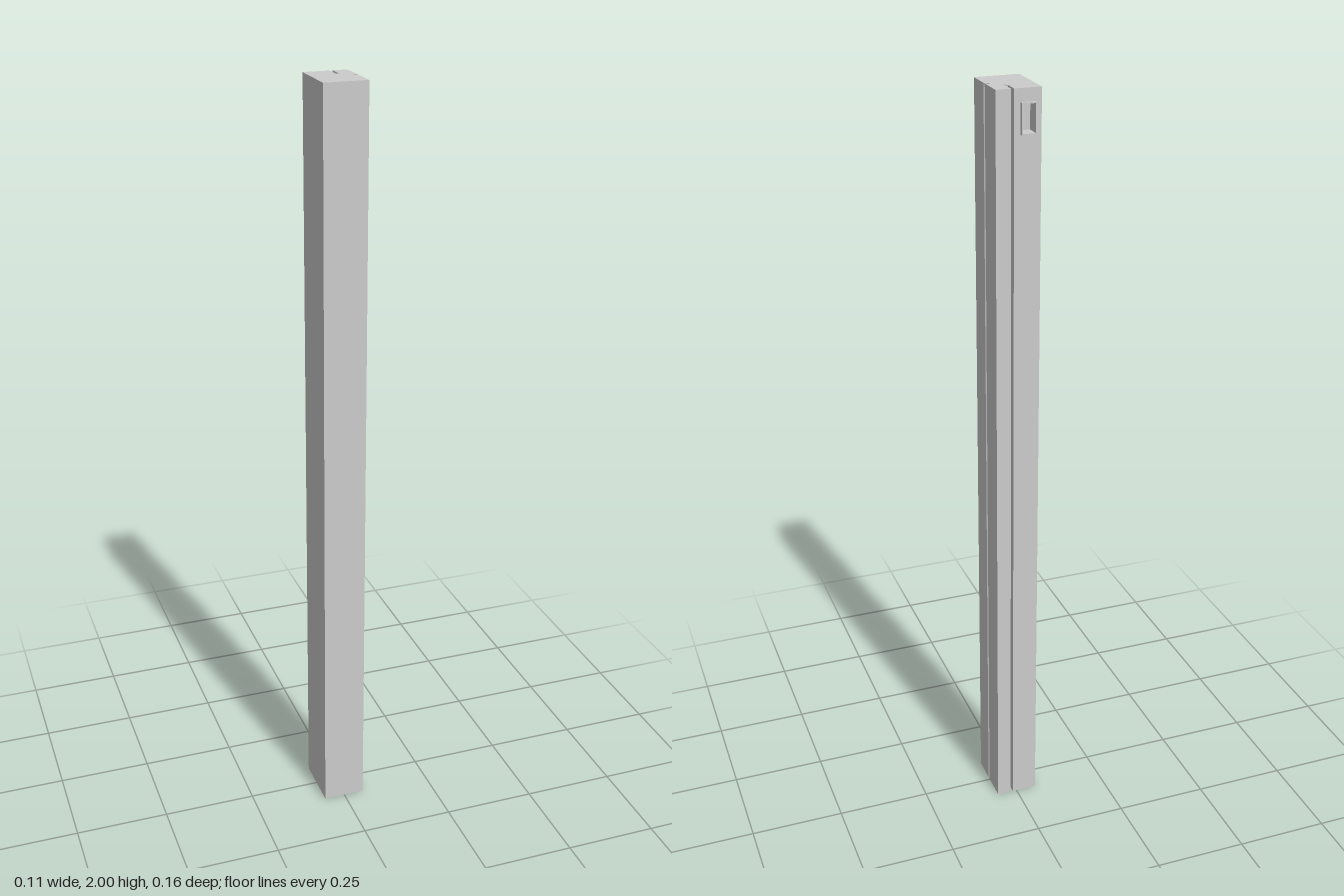
import * as THREE from 'three';

const material = new THREE.MeshStandardMaterial({ color: 0xcccccc, flatShading: true });
const HEIGHT = 2;
const BACK = -0.072;

// Upright prism from an [x, z] outline, between two heights
function prism(name, outline, y0 = 0, y1 = HEIGHT) {
  const shape = new THREE.Shape(outline.map(([x, z]) => new THREE.Vector2(x, -z)));
  const geometry = new THREE.ExtrudeGeometry(shape, { depth: y1 - y0, bevelEnabled: false });
  geometry.rotateX(-Math.PI / 2).translate(0, y0, 0);
  const mesh = new THREE.Mesh(geometry, material);
  mesh.name = name;
  return mesh;
}

function rectangle(PathType, x0, y0, x1, y1) {
  return new PathType([[x0, y0], [x1, y0], [x1, y1], [x0, y1]].map(([x, y]) => new THREE.Vector2(x, y)));
}

export function createModel() {
  const group = new THREE.Group();
  group.name = 'post';

  // Collar outline and the pocket opening inside it
  const collar = { x0: -0.043, x1: -0.005, y0: 1.893, y1: 1.968 };
  const rim = 0.003;
  const pocket = {
    x0: collar.x0 + rim, x1: collar.x1 - rim, y0: collar.y0 + rim, y1: collar.y1 - rim,
    floor: BACK + 0.03,
  };

  // Main post, with a pocket cut into its back near the top
  const front = [[-0.057, BACK], [-0.057, 0.079], [0.056, 0.079], [0.056, 0.011], [0.011, -0.031], [0.011, BACK]];
  const cut = [[pocket.x1, BACK], [pocket.x1, pocket.floor], [pocket.x0, pocket.floor], [pocket.x0, BACK]];
  const body = new THREE.Group();
  body.name = 'mainPost';
  body.add(
    prism('lowerPost', front, 0, pocket.y0),
    prism('pocketPost', [...front, ...cut], pocket.y0, pocket.y1),
    prism('upperPost', front, pocket.y1, HEIGHT),
  );
  group.add(body);

  // Separate corner strip and the thin seal in the slanted gap
  group.add(prism('cornerStrip', [[0.018, BACK], [0.018, -0.033], [0.056, 0.002], [0.056, BACK]]));
  group.add(prism('gapSeal', [[0.021, -0.0303], [0.018, -0.0245], [0.044, -0.0002], [0.048, -0.0054]]));

  // Raised collar around the pocket
  const shape = rectangle(THREE.Shape, collar.x0, collar.y0, collar.x1, collar.y1);
  shape.holes.push(rectangle(THREE.Path, pocket.x0, pocket.y0, pocket.x1, pocket.y1));
  const geometry = new THREE.ExtrudeGeometry(shape, { depth: 0.008, bevelEnabled: false });
  geometry.translate(0, 0, BACK - 0.008);
  const collarMesh = new THREE.Mesh(geometry, material);
  collarMesh.name = 'pocketCollar';
  group.add(collarMesh);

  return group;
}
